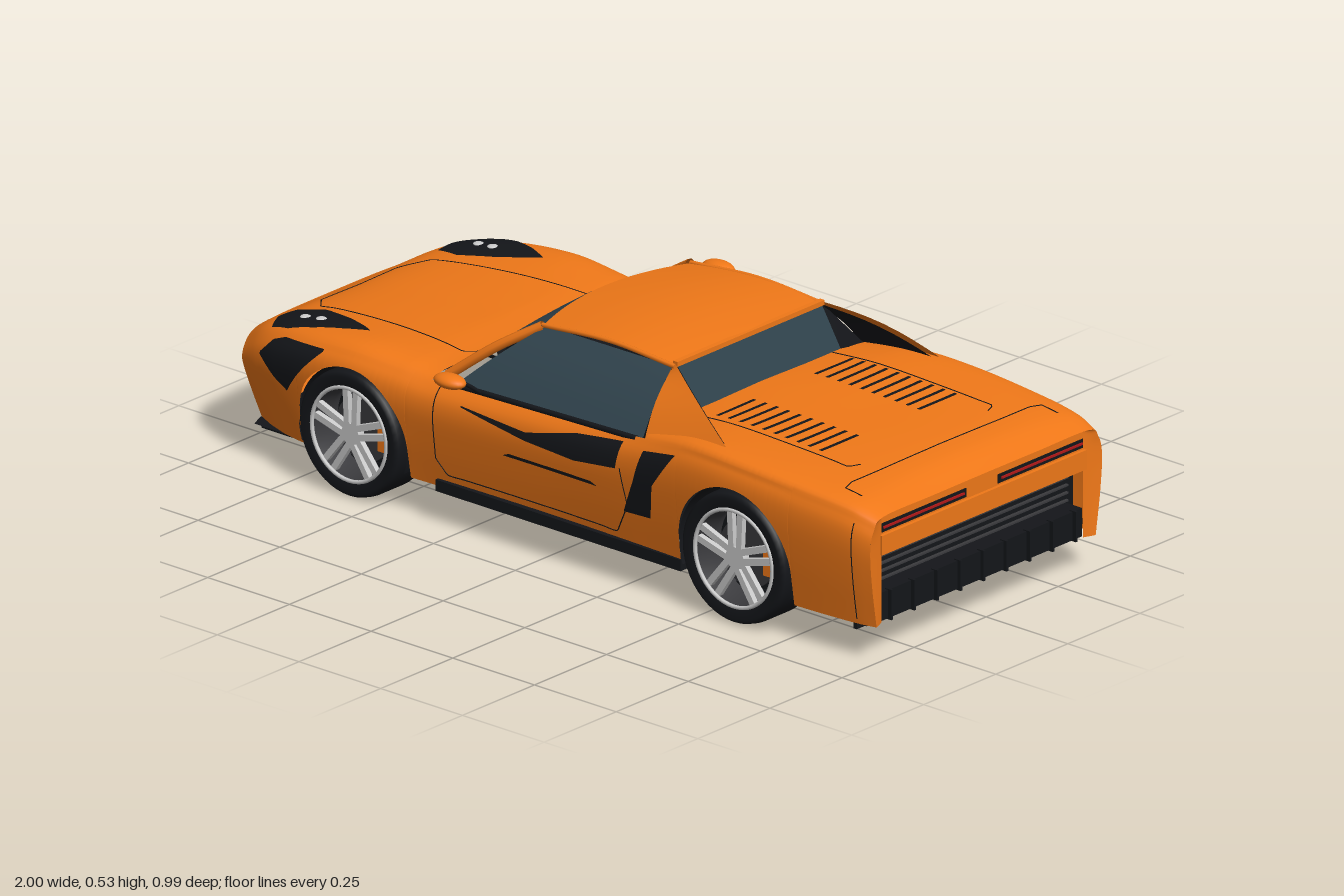
import * as THREE from 'three';

const V = (x, y, z) => new THREE.Vector3(x, y, z);
const { lerp, clamp, smoothstep } = THREE.MathUtils;
const mat = (color) => new THREE.MeshStandardMaterial({ color, side: THREE.DoubleSide });
const paint = mat(0xf07818), black = mat(0x14161a), glass = mat(0x31444e), metal = mat(0xc0c0c4);
const darkMetal = mat(0x3a3a3d), red = mat(0xb01818), lamp = mat(0xe8e8e8);
const belly = new THREE.MeshStandardMaterial({ color: 0x14161a });

// Smooth interpolation through [x, value] pairs
function spline(p) {
  const slope = (i) => {
    const a = p[Math.max(i - 1, 0)], b = p[Math.min(i + 1, p.length - 1)];
    return (b[1] - a[1]) / (b[0] - a[0]);
  };
  return (x) => {
    let i = 0;
    while (i < p.length - 2 && x > p[i + 1][0]) i++;
    const h = p[i + 1][0] - p[i][0], t = clamp((x - p[i][0]) / h, 0, 1), t2 = t * t, t3 = t2 * t;
    return (2 * t3 - 3 * t2 + 1) * p[i][1] + (t3 - 2 * t2 + t) * h * slope(i)
      + (3 * t2 - 2 * t3) * p[i + 1][1] + (t3 - t2) * h * slope(i + 1);
  };
}
// Surface from f(u, v), both 0..1; skip(i, j) leaves cells out
function grid(nu, nv, f, skip = () => false) {
  const pos = [], idx = [];
  for (let i = 0; i <= nu; i++) for (let j = 0; j <= nv; j++) pos.push(...f(i / nu, j / nv, i, j).toArray());
  for (let i = 0; i < nu; i++) for (let j = 0; j < nv; j++) {
    if (skip(i, j)) continue;
    const a = i * (nv + 1) + j, b = a + nv + 1;
    idx.push(a, b, a + 1, b, b + 1, a + 1);
  }
  const g = new THREE.BufferGeometry();
  g.setAttribute('position', new THREE.Float32BufferAttribute(pos, 3));
  g.setIndex(idx);
  g.computeVertexNormals();
  return g;
}
// Four-cornered panel, optionally bulged up and outward
const quad = (a, b, c, d, bulge = 0) => grid(8, 8, (u, v) => {
  const k = bulge * Math.sin(Math.PI * v);
  return a.clone().lerp(b, u).lerp(d.clone().lerp(c, u), v).add(V(0, k, k));
});

// Body form along its length
const halfWidth = spline([[-1, .36], [-.95, .385], [-.85, .407], [-.6, .425], [-.36, .413], [0, .407], [.3, .413],
  [.6, .425], [.8, .422], [.95, .412], [1, .402]]);
const fenderY = spline([[-1, .275], [-.95, .31], [-.9, .33], [-.8, .35], [-.6, .367], [-.45, .36], [-.36, .352],
  [-.1, .36], [.2, .375], [.32, .39], [.45, .405], [.6, .403], [.8, .39], [.93, .376], [1, .355]]);
const centreY = spline([[-1, .273], [-.9, .318], [-.75, .341], [-.5, .353], [-.36, .35], [.3, .4], [.6, .4], [.9, .388], [1, .357]]);
const wheels = [{ x: -.585, r: .154, archX: -.58, arch: .166 }, { x: .592, r: .16, archX: .592, arch: .174 }];
const BELT = 3.4 / 6, CABIN = [-.36, .3];

function section(s) {
  const w = halfWidth(s), top = fenderY(s), c = centreY(s), y = (k) => lerp(.088, top, k);
  const square = smoothstep(s, 0, .55);
  return new THREE.CatmullRomCurve3([V(s, y(0), w - .022), V(s, y(.4), w - .006), V(s, y(.72), w),
    V(s, y(.9), w - lerp(.02, .012, square)), V(s, top, w - lerp(.075, .048, square)),
    V(s, lerp(top, c, .7), w * .45), V(s, c, 0)], false, 'catmullrom', .5);
}
// Rounds the nose in plan and rakes its lower face back
function warp(p) {
  const k = 1 - smoothstep(p.x, -1, -.7);
  p.x += k * (.06 * (p.z / .4) ** 4 + .36 * Math.max(0, .23 - p.y));
  return p;
}
function solve(c, lo, hi, test) {
  for (let i = 0; i < 22; i++) {
    const m = (lo + hi) / 2;
    if (test(c.getPoint(m))) lo = m; else hi = m;
  }
  return lo;
}
function onSide(s, y, off = .004) {
  const c = section(s), p = warp(c.getPoint(solve(c, 0, 4 / 6, (q) => q.y < y)));
  p.z += off;
  return p;
}
function onTop(s, z, off = .004) {
  const c = section(s), p = warp(c.getPoint(solve(c, .5, 1, (q) => q.z > z)));
  p.y += off;
  return p;
}
// Panel lying on the body between two outlines given as [along, across] pairs
const patch = (place, a, b) => {
  const at = (p, u) => {
    const k = u * (p.length - 1), i = Math.min(Math.floor(k), p.length - 2);
    return [0, 1].map((n) => lerp(p[i][n], p[i + 1][n], k - i));
  };
  return grid(30, 10, (u, v) => {
    const p = at(a, u), q = at(b, u);
    return place(lerp(p[0], q[0], v), lerp(p[1], q[1], v));
  });
};
// Thin panel gap along a path on the body
function seam(place, path) {
  const pts = [];
  for (let i = 0; i < path.length - 1; i++) for (let k = 0; k < 10; k++)
    pts.push(place(lerp(path[i][0], path[i + 1][0], k / 10), lerp(path[i][1], path[i + 1][1], k / 10), 0));
  pts.push(place(...path.at(-1), 0));
  return new THREE.TubeGeometry(new THREE.CatmullRomCurve3(pts), pts.length * 2, .0016, 4);
}

function bodyShell() {
  const xs = [];
  for (let i = 0; i <= 100; i++) xs.push(-1 + i * .02);
  for (const w of wheels) {
    for (let k = 0; k <= 32; k++) xs.push(w.archX + w.arch * Math.cos(k * Math.PI / 32));
    xs.push(w.archX - w.arch - .001, w.archX + w.arch + .001);
  }
  xs.sort((a, b) => a - b);
  const SIDE = 16, M = 30;
  const cols = xs.map((s) => {
    const c = section(s);
    let low = 0;
    for (const w of wheels) {
      const d = Math.abs(s - w.archX);
      if (d <= w.arch + 1e-6) low = w.r + Math.sqrt(Math.max(0, w.arch ** 2 - d * d));
    }
    const t0 = low ? solve(c, 0, BELT, (q) => q.y < low) : 0, pts = [];
    for (let j = 0; j <= M; j++)
      pts.push(warp(c.getPoint(j <= SIDE ? lerp(t0, BELT, j / SIDE) : lerp(BELT, 1, (j - SIDE) / (M - SIDE)))));
    return pts;
  });
  return grid(xs.length - 1, 2 * M, (u, v, i, j) => {
    const p = cols[i][j <= M ? j : 2 * M - j].clone();
    if (j > M) p.z *= -1;
    return p;
  }, (i, j) => {
    const mid = (xs[i] + xs[i + 1]) / 2;
    return mid > CABIN[0] && mid < CABIN[1] && j >= SIDE && j < 2 * M - SIDE;
  });
}

function wheel(R) {
  const g = new THREE.Group();
  const add = (name, geo, m, x = 0, y = 0, z = 0) => {
    const o = new THREE.Mesh(geo, m);
    o.name = name; o.position.set(x, y, z); g.add(o);
    return o;
  };
  const lathe = (pts) => new THREE.LatheGeometry(pts.map((p) => new THREE.Vector2(...p)), 48).rotateX(Math.PI / 2);
  const disc = (r, h) => new THREE.CylinderGeometry(r, r, h, 32).rotateX(Math.PI / 2);
  add('tyre', lathe([[R * .75, -.058], [R * .92, -.065], [R * .98, -.057], [R, -.042], [R, .042], [R * .98, .057], [R * .92, .065], [R * .75, .058]]), black);
  add('rimBarrel', lathe([[R * .74, -.058], [R * .68, 0], [R * .74, .058]]), darkMetal);
  add('rimLip', new THREE.TorusGeometry(R * .74, .005, 8, 48), metal, 0, 0, .058);
  add('innerDisc', disc(R * .7, .01), black, 0, 0, -.03);
  add('brakeDisc', disc(R * .52, .012), darkMetal, 0, 0, .005);
  add('caliper', new THREE.BoxGeometry(.03, .065, .03), paint, R * .5, 0, .015);
  add('hub', disc(R * .17, .02), metal, 0, 0, .045);
  for (let i = 0; i < 5; i++) for (const k of [-1, 1]) {
    const spoke = new THREE.BoxGeometry(R * .1, R * .7, .014).translate(k * R * .065, R * .37, 0).rotateZ(-k * .05);
    add('spoke', spoke, metal, 0, 0, .048).rotation.z = i * Math.PI * .4;
  }
  return g;
}

export function createModel() {
  const car = new THREE.Group();
  car.name = 'sportsCar';
  const add = (name, geo, m, x = 0, y = 0, z = 0) => {
    const o = new THREE.Mesh(geo, m);
    o.name = name; o.position.set(x, y, z); car.add(o);
    return o;
  };
  const pair = (name, geo, m, x, y, z) => {
    add(name, geo, m, x, y, z);
    add(name, geo, m, x, y, -(z || 0)).scale.z = -1;
  };
  const box = (x, y, z) => new THREE.BoxGeometry(x, y, z);
  add('bodyShell', bodyShell(), paint);
  // Nose panel, intake and splitter
  const nose = section(-1);
  add('nosePanel', grid(20, 30, (u, v) => {
    const p = nose.getPoint(u * 4 / 6);
    p.z *= 2 * v - 1;
    return warp(p);
  }), paint);
  add('frontIntake', grid(6, 24, (u, v) => {
    const p = warp(V(-1, lerp(.1, .2, u), lerp(-.32, .32, v) * (1 - .1 * u)));
    p.x -= .005;
    return p;
  }), black);
  add('splitter', grid(2, 24, (u, v) => {
    const z = lerp(-.375, .375, v);
    return V(lerp(-.955 + .06 * (z / .4) ** 4, -.8, u), .084, z);
  }), black);
  // Underside and sills
  add('underbody', new THREE.PlaneGeometry(1.85, .72).rotateX(Math.PI / 2), belly, .005, .062, 0);
  pair('underbodyEdge', box(1.85, .007, .004), black, .005, .063, .335);
  pair('sill', box(.75, .028, .03), black, .045, .094, .388);

  // Lamps and side openings
  pair('headlight', patch(onTop, [[-.915, .3], [-.9, .245], [-.82, .225], [-.72, .252], [-.65, .282], [-.62, .3]],
    [[-.915, .3], [-.9, .355], [-.83, .366], [-.75, .354], [-.68, .33], [-.62, .3]]), black);
  for (const [x, z] of [[-.825, .3], [-.775, .297]])
    pair('lampLens', new THREE.SphereGeometry(.013, 16, 10).scale(1, .3, 1), lamp, ...onTop(x, z).toArray());
  pair('frontSideVent', patch(onSide, [[-.92, .272], [-.85, .235], [-.79, .213], [-.75, .255], [-.67, .335]],
    [[-.92, .278], [-.87, .315], [-.82, .33], [-.76, .334], [-.67, .34]]), black);
  pair('sideScoop', patch(onSide, [[.25, .185], [.285, .27], [.31, .35]], [[.335, .19], [.345, .275], [.41, .366]]), black);
  pair('doorBlade', patch(onSide, [[-.25, .309], [-.05, .28], [.1, .272], [.23, .288]], [[-.25, .312], [-.05, .3], [.1, .335], [.24, .352]]), black);
  pair('doorCrease', patch(onSide, [[-.12, .226], [.17, .226]], [[-.1, .234], [.15, .234]]), black);
  pair('doorSeam', seam(onSide, [[-.33, .335], [-.33, .16], [-.3, .125], [.22, .125], [.26, .2], [.24, .29]]), black);
  pair('bumperSeam', seam(onSide, [[.95, .1], [.95, .34]]), black);

  // Bonnet and engine cover
  pair('bonnetSeam', seam(onTop, [[-.92, 0], [-.92, .13], [-.87, .19], [-.4, .225], [-.37, .19]]), black);
  pair('deckSeam', seam(onTop, [[.31, .25], [.8, .25], [.81, .22]]), black);
  pair('tailSeam', seam(onTop, [[.86, 0], [.86, .31], [.87, .34], [.92, .34]]), black);
  for (let i = 0; i < 10; i++) {
    const x = .38 + i * .035;
    pair('deckLouvre', patch(onTop, [[x, .105], [x, .235]], [[x + .01, .105], [x + .01, .235]]), black);
  }

  // Roof and glass
  const roofFront = (u) => V(-.17 + .04 * u * u, .508 - .01 * u * u, .255 * u);
  add('windscreen', grid(24, 12, (a, v) => {
    const u = 2 * a - 1, p = V(-.362 + .02 * u * u, .348, .335 * u).lerp(roofFront(u), v);
    p.y += .012 * Math.sin(Math.PI * v);
    return p;
  }), glass);
  add('roof', grid(24, 24, (a, v) => {
    const u = 2 * a - 1, p = roofFront(u);
    p.x = lerp(p.x, .278, v);
    p.y += .02 * Math.sin(Math.PI * .88 * v);
    return p;
  }), paint);
  add('roofLip', box(.014, .012, .51), paint, .274, .51, 0);
  add('rearWindow', quad(V(.312, .398, -.275), V(.312, .398, .275), V(.275, .508, .25), V(.275, .508, -.25)), glass);
  pair('quarterGlass', quad(V(.312, .398, .275), V(.31, .385, .36), V(.276, .506, .253), V(.275, .508, .25)), black);
  pair('sideWindow', quad(V(-.29, .346, .378), V(.285, .362, .382), V(.265, .502, .255), V(-.12, .499, .255), .005), glass);
  pair('buttress', quad(V(.295, .365, .386), V(.53, .407, .37), V(.272, .511, .254), V(.268, .5, .257), .01), paint);
  pair('buttressLining', quad(V(.295, .363, .38), V(.52, .405, .36), V(.272, .506, .249), V(.268, .497, .251), .008), black);
  const tube = (r, ...p) => new THREE.TubeGeometry(new THREE.CatmullRomCurve3(p), 16, r, 8);
  pair('windscreenPillar', tube(.012, V(-.345, .345, .342), V(-.23, .434, .302), V(-.13, .497, .255)), paint);
  pair('roofRail', tube(.006, V(-.13, .499, .256), V(.08, .515, .257), V(.275, .504, .257)), paint);
  pair('windowSill', tube(.007, V(-.28, .346, .38), V(.02, .354, .379), V(.27, .363, .384)), black);

  // Cabin interior
  add('dashboard', box(.16, .05, .6), black, -.24, .31, 0);
  add('bulkhead', box(.01, .32, .54), black, .265, .23, 0);
  pair('seatBase', box(.24, .08, .2), black, .04, .16, .17);
  pair('seatBack', box(.06, .28, .2).rotateZ(-.3), black, .18, .29, .17);

  // Door mirrors
  pair('mirror', new THREE.SphereGeometry(1, 24, 16).scale(.044, .017, .028), paint, -.23, .397, .466);
  pair('mirrorStalk', tube(.005, V(-.21, .35, .385), V(-.22, .38, .425), V(-.23, .393, .455)), black);

  // Tail
  const tail = section(1);
  pair('tailPillar', grid(20, 4, (u, v) => {
    const p = tail.getPoint(u * 4 / 6);
    p.z = lerp(p.z, .35, v);
    p.x -= .012 * v;
    return p;
  }), paint);
  add('tailBacking', box(.01, .28, .75), black, .93, .205, 0);
  add('tailUpperPanel', box(.012, .05, .72), paint, .98, .33, 0);
  add('tailBand', box(.03, .048, .71), paint, .98, .281, 0);
  pair('tailSlot', box(.01, .022, .3), black, .983, .321, .205);
  pair('tailLight', box(.006, .005, .28), red, .989, .322, .205);
  pair('exhaust', new THREE.TorusGeometry(.026, .005, 8, 24).rotateY(Math.PI / 2), metal, .95, .27, .135);
  add('diffuser', box(.06, .07, .7), black, .955, .125, 0);
  for (let i = 0; i < 9; i++) add('diffuserFin', box(.02, .075, .006), black, .985, .125, -.32 + i * .08);
  for (let i = 0; i < 5; i++) add('grilleBar', box(.008, .004, .7), darkMetal, .94, .168 + i * .019, 0);

  // Wheels and arch liners
  for (const w of wheels) {
    const liner = new THREE.CylinderGeometry(w.arch, w.arch, .13, 32, 1, true, Math.PI / 2 - .35, Math.PI + .7);
    pair('archLiner', liner.rotateX(Math.PI / 2), black, w.archX, w.r, .34);
    for (const side of [1, -1]) {
      const g = wheel(w.r);
      g.name = w.x < 0 ? 'frontWheel' : 'rearWheel';
      g.position.set(w.x, w.r, side * .355);
      g.scale.z = side;
      car.add(g);
    }
  }
  return car;
}
